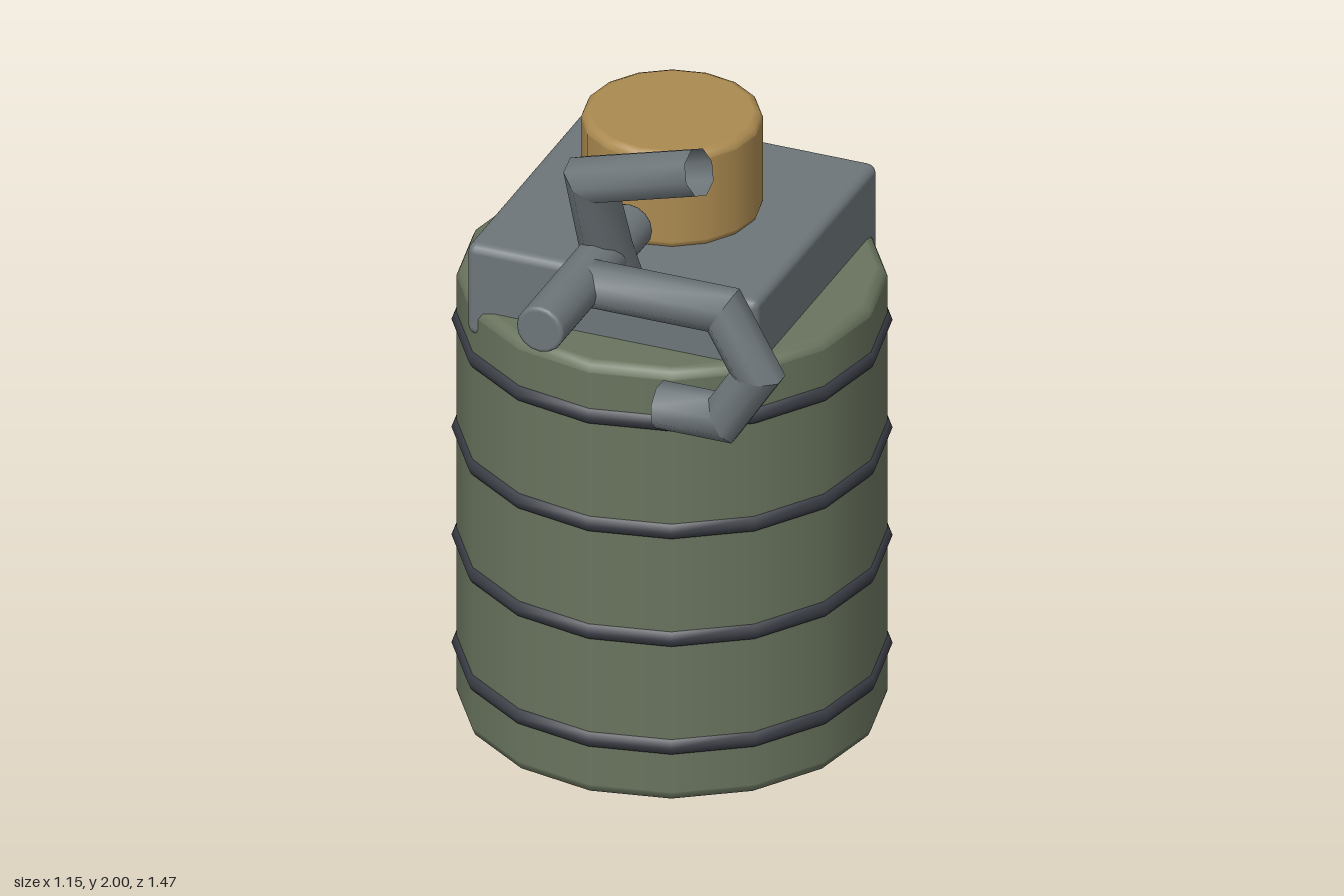
import * as THREE from 'three';
import { RoundedBoxGeometry } from 'three/addons/geometries/RoundedBoxGeometry.js';

const AXIS_Z = -0.165; // z of the drum's vertical axis

function material(name, color, side = THREE.FrontSide) {
  const m = new THREE.MeshStandardMaterial({ color, side });
  m.name = name;
  return m;
}

// Solid of revolution with a small softened rim; doubled points keep the flats flat
function softCylinder(radius, y0, y1, bevel, sides) {
  const b = bevel, e = bevel * 0.3;
  const profile = [
    [0, y0], [radius - b - 0.004, y0], [radius - b, y0], [radius - e, y0 + e],
    [radius, y0 + b], [radius, y0 + b + 0.004],
    [radius, y1 - b - 0.004], [radius, y1 - b], [radius - e, y1 - e],
    [radius - b, y1], [radius - b - 0.004, y1], [0, y1],
  ].map(([x, y]) => new THREE.Vector2(x, y));
  return new THREE.LatheGeometry(profile, sides);
}

// Open pipe with mitred elbows along a planar path; each leg is smooth around, sharp at elbows
function mitredPipe(points, radii, sides = 8) {
  const p = points.map((q) => new THREE.Vector3(...q));
  const last = p.length - 1;
  const dirs = p.slice(1).map((q, i) => q.clone().sub(p[i]).normalize());
  const normal = dirs[0].clone().cross(p[last].clone().sub(p[0])).normalize();
  const rings = p.map((centre, i) => {
    const before = dirs[Math.max(i - 1, 0)];
    const after = dirs[Math.min(i, last - 1)];
    const tangent = before.clone().add(after).normalize();
    const across = tangent.clone().cross(normal);
    const stretch = 1 / tangent.dot(after);
    return Array.from({ length: sides }, (_, k) => {
      const a = ((k + 0.5) / sides) * Math.PI * 2;
      return centre.clone()
        .addScaledVector(normal, Math.cos(a) * radii[i])
        .addScaledVector(across, Math.sin(a) * radii[i] * stretch);
    });
  });
  const positions = [], index = [];
  for (let s = 0; s < last; s++) {
    const base = positions.length / 3;
    for (const v of [...rings[s], ...rings[s + 1]]) positions.push(v.x, v.y, v.z);
    for (let k = 0; k < sides; k++) {
      const a = base + k, b = base + ((k + 1) % sides);
      index.push(a, b, a + sides, b, b + sides, a + sides);
    }
  }
  const g = new THREE.BufferGeometry();
  g.setAttribute('position', new THREE.Float32BufferAttribute(positions, 3));
  g.setIndex(index);
  g.computeVertexNormals();
  return g;
}

export function createModel() {
  const model = new THREE.Group();
  const green = material('olive paint', 0x69745e);
  const metal = material('grey metal', 0x6e767a, THREE.DoubleSide);
  const dark = material('dark band', 0x3a3d45);
  const brass = material('brass', 0xab8a50);

  const add = (name, geometry, mat, x = 0, y = 0, z = 0) => {
    const mesh = new THREE.Mesh(geometry, mat);
    mesh.name = name;
    mesh.position.set(x, y, z);
    model.add(mesh);
    return mesh;
  };

  // Drum with four raised bands
  add('drum', softCylinder(0.56, 0, 1.28, 0.025, 16), green, 0, 0, AXIS_Z);
  for (let i = 0; i < 4; i++) {
    const band = new THREE.TorusGeometry(0.545, 0.028, 8, 16);
    band.rotateX(Math.PI / 2);
    add('band' + (i + 1), band, dark, 0, 0.165 + i * 0.32, AXIS_Z);
  }

  // Square head block, its corners overhanging the drum, and the round cap
  add('headBlock', new RoundedBoxGeometry(0.82, 0.27, 0.82, 2, 0.025), metal, 0, 1.335, AXIS_Z);
  add('cap', softCylinder(0.237, 1.46, 1.745, 0.02, 16), brass, 0, 0, AXIS_Z);

  // Horizontal pin pointing forward
  const pin = softCylinder(0.066, 0, 0.61, 0.008, 16);
  pin.rotateX(Math.PI / 2);
  add('pin', pin, metal, 0, 1.55, 0.12);

  // Bent lever rising from the pin, flared at its foot
  add('lever', mitredPipe(
    [[0, 1.465, 0.235], [0, 1.57, 0.279], [0, 1.82, 0.382], [0.325, 1.935, 0.43]],
    [0.078, 0.07, 0.066, 0.066]), metal);

  // Hook curling round to the left of the pin
  add('hook', mitredPipe(
    [[0, 1.55, 0.445], [0.4, 1.55, 0.445], [0.495, 1.38, 0.445], [0.4, 1.232, 0.445], [0.22, 1.232, 0.445]],
    [0.064, 0.064, 0.064, 0.064, 0.064]), metal);

  return model;
}
